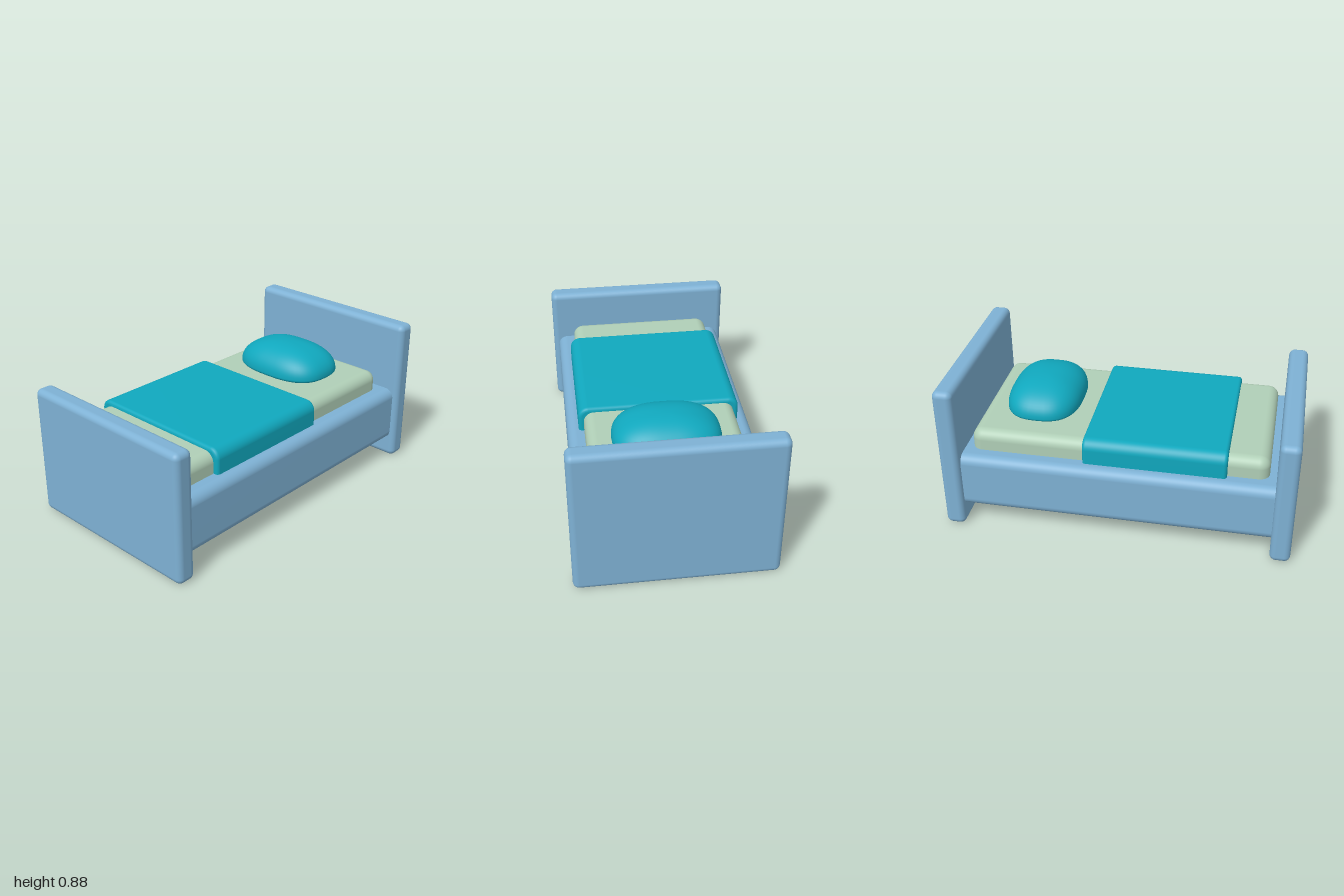
import * as THREE from 'three';
import { mergeVertices } from 'three/addons/utils/BufferGeometryUtils.js';
import { RoundedBoxGeometry } from 'three/addons/geometries/RoundedBoxGeometry.js';

function material(name, color) {
  const m = new THREE.MeshStandardMaterial({ color });
  m.name = name;
  return m;
}

// Box with all edges rounded, given by its limits in y and z
function softBox(name, mat, halfWidth, y0, y1, z0, z1, radius) {
  const mesh = new THREE.Mesh(new RoundedBoxGeometry(halfWidth * 2, y1 - y0, z1 - z0, 5, radius), mat);
  mesh.position.set(0, (y0 + y1) / 2, (z0 + z1) / 2);
  mesh.name = name;
  return mesh;
}

// Rounded cross-section run along z, with a small bevel at both ends
function softBar(name, mat, halfWidth, y0, y1, z0, z1, radius, bevel) {
  const w = halfWidth - bevel, b = y0 + bevel, t = y1 - bevel, r = radius - bevel;
  const s = new THREE.Shape();
  s.moveTo(-w + r, b);
  s.lineTo(w - r, b);
  s.absarc(w - r, b + r, r, -Math.PI / 2, 0);
  s.lineTo(w, t - r);
  s.absarc(w - r, t - r, r, 0, Math.PI / 2);
  s.lineTo(-w + r, t);
  s.absarc(-w + r, t - r, r, Math.PI / 2, Math.PI);
  s.lineTo(-w, b + r);
  s.absarc(-w + r, b + r, r, Math.PI, Math.PI * 1.5);
  let geo = new THREE.ExtrudeGeometry(s, {
    depth: z1 - z0 - 2 * bevel, curveSegments: 8,
    bevelEnabled: true, bevelSize: bevel, bevelThickness: bevel, bevelSegments: 4,
  });
  geo.translate(0, 0, z0 + bevel);
  geo.deleteAttribute('uv');
  geo.deleteAttribute('normal');
  geo = mergeVertices(geo, 1e-4);
  geo.computeVertexNormals();
  const mesh = new THREE.Mesh(geo, mat);
  mesh.name = name;
  return mesh;
}

// Cushion: squarish in plan, domed above and nearly flat below
function makePillow(mat) {
  let geo = new THREE.SphereGeometry(1, 48, 32);
  geo.deleteAttribute('uv');
  geo.deleteAttribute('normal');
  geo = mergeVertices(geo, 1e-4);
  const p = geo.attributes.position;
  const bend = (v, e) => Math.sign(v) * Math.abs(v) ** e;
  for (let i = 0; i < p.count; i++) {
    const y = p.getY(i);
    const r = Math.hypot(p.getX(i), p.getZ(i));
    const c = r > 1e-4 ? p.getX(i) / r : 0;
    const s = r > 1e-4 ? p.getZ(i) / r : 0;
    const spread = r ** (y > 0 ? 0.9 : 0.6);
    p.setXYZ(i,
      0.3 * spread * bend(c, 0.75),
      y > 0 ? 0.15 * y ** 0.95 : 0.04 * bend(y, 0.8),
      0.217 * spread * bend(s, 0.75));
  }
  geo.computeVertexNormals();
  const mesh = new THREE.Mesh(geo, mat);
  mesh.position.set(0, 0.615, -0.497);
  mesh.name = 'pillow';
  return mesh;
}

export function createModel() {
  const frame = material('frame blue', 0x7eb1d4);
  const sheet = material('mattress green', 0xb0cfb7);
  const cloth = material('bedding teal', 0x10a8be);

  const bed = new THREE.Group();
  bed.name = 'bed';
  bed.add(
    softBox('headboard', frame, 0.562, 0, 0.885, -1, -0.885, 0.035),
    softBox('footboard', frame, 0.562, 0, 0.765, 0.885, 1, 0.035),
    softBar('bedBase', frame, 0.53, 0.12, 0.46, -0.91, 0.91, 0.055, 0.02),
    softBox('mattress', sheet, 0.432, 0.4, 0.58, -0.845, 0.845, 0.06),
    softBar('blanket', cloth, 0.463, 0.4, 0.605, -0.195, 0.615, 0.06, 0.02),
    makePillow(cloth),
  );
  return bed;
}
